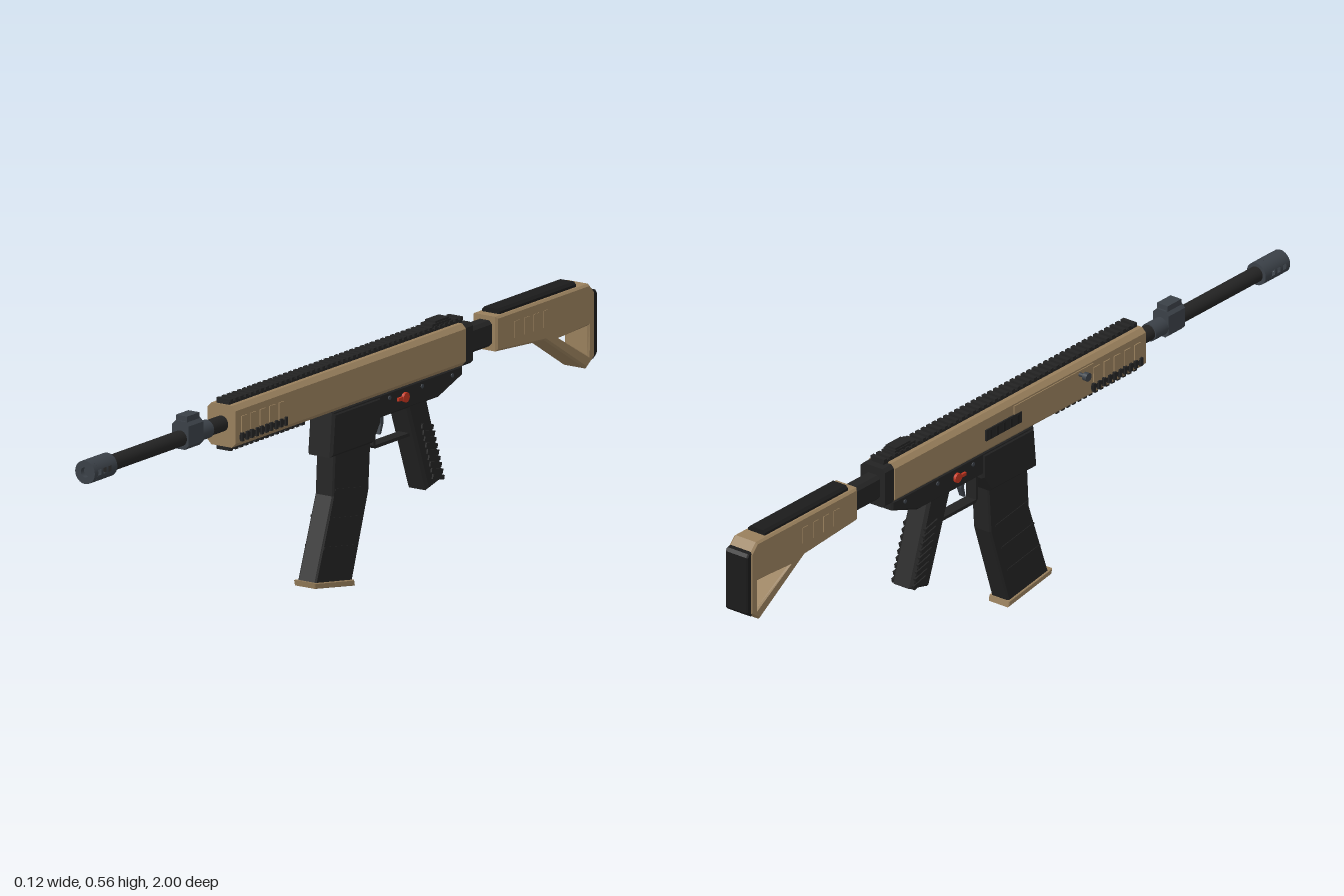
import * as THREE from 'three';

const mat = (name, color, side = THREE.FrontSide) => {
  const m = new THREE.MeshStandardMaterial({ color, side });
  m.name = name;
  return m;
};

export function createModel() {
  const tan = mat('tan', 0x987f5c);
  const black = mat('black', 0x232323);
  const rubber = mat('rubber black', 0x1b1b1b);
  const steel = mat('gunmetal', 0x3a4047, THREE.DoubleSide);
  const red = mat('red', 0xc0341f);

  const root = new THREE.Group();
  root.name = 'rifle';
  const body = new THREE.Group();
  body.name = 'body';
  body.position.x = 0.01;
  root.add(body);

  const add = (name, geo, m, x = 0, y = 0, z = 0) => {
    const mesh = new THREE.Mesh(geo, m);
    mesh.name = name;
    mesh.position.set(x, y, z);
    body.add(mesh);
    return mesh;
  };
  const box = (name, m, w, h, d, x, y, z) => add(name, new THREE.BoxGeometry(w, h, d), m, x, y, z);
  const toShape = pts => new THREE.Shape(pts.map(p => new THREE.Vector2(...p)));

  // Side profile given as [z, y] points, extruded across the width
  const side = (name, m, pts, width, bevel = 0.004, hole) => {
    const s = toShape(pts);
    if (hole) s.holes.push(new THREE.Path(hole.map(p => new THREE.Vector2(...p))));
    const g = new THREE.ExtrudeGeometry(s, {
      depth: width - 2 * bevel, bevelEnabled: bevel > 0, bevelSize: bevel,
      bevelThickness: bevel, bevelOffset: -bevel, bevelSegments: 1,
    });
    g.translate(0, 0, -(width - 2 * bevel) / 2).rotateY(-Math.PI / 2);
    return add(name, g, m);
  };
  // Chamfered rectangle extruded along z
  const bar = (name, m, w, y0, y1, z0, z1, c) => {
    const x = w / 2;
    const s = toShape([[-x + c, y0], [x - c, y0], [x, y0 + c], [x, y1 - c],
      [x - c, y1], [-x + c, y1], [-x, y1 - c], [-x, y0 + c]]);
    return add(name, new THREE.ExtrudeGeometry(s, { depth: z1 - z0, bevelEnabled: false }), m, 0, 0, z0);
  };
  const axisY = 0.489;
  const rod = (name, m, r, z0, z1, y = axisY) =>
    add(name, new THREE.CylinderGeometry(r, r, z1 - z0, 24).rotateX(Math.PI / 2), m, 0, y, (z0 + z1) / 2);

  // Upper receiver and rear block
  bar('receiver', tan, 0.08, 0.435, 0.535, -0.465, 0.455, 0.011);
  bar('rearBlock', black, 0.072, 0.433, 0.532, -0.498, -0.465, 0.008);
  bar('stockAdapter', black, 0.042, 0.45, 0.512, -0.605, -0.498, 0.008);

  // Top, bottom and side accessory rails
  box('topRailBase', black, 0.036, 0.008, 0.93, 0, 0.537, -0.015);
  for (let i = 0; i < 46; i++) box('topRailTooth', black, 0.04, 0.008, 0.011, 0, 0.543, 0.442 - i * 0.0204);
  box('bottomRailBase', black, 0.036, 0.008, 0.3, 0, 0.433, 0.3);
  for (let i = 0; i < 15; i++) box('bottomRailTooth', black, 0.04, 0.008, 0.011, 0, 0.428, 0.442 - i * 0.0204);
  for (const s of [-1, 1]) {
    box('sideRailBase', black, 0.005, 0.01, 0.185, s * 0.0405, 0.459, 0.347);
    for (let i = 0; i < 10; i++) box('sideRailTooth', black, 0.01, 0.02, 0.009, s * 0.042, 0.459, 0.433 - i * 0.0193);
    for (let i = 0; i < 5; i++) box('handguardVent', tan, 0.004, 0.052, 0.022, s * 0.0405, 0.482, 0.423 - i * 0.0375);
  }

  // Barrel, gas block and sight base
  rod('barrel', black, 0.019, 0.44, 0.915);
  rod('barrelCollar', steel, 0.022, 0.515, 0.565);
  bar('gasBlock', steel, 0.046, 0.463, 0.53, 0.56, 0.62, 0.01);
  box('frontSightBase', steel, 0.032, 0.014, 0.05, 0, 0.535, 0.59);

  // Muzzle brake: shell with open ports on both flanks
  const mr = 0.028;
  const arc = (name, z0, z1, start, len) => add(name,
    new THREE.CylinderGeometry(mr, mr, z1 - z0, 24, 1, true, start, len).rotateX(Math.PI / 2),
    steel, 0, axisY, (z0 + z1) / 2);
  arc('muzzleRear', 0.91, 0.933, 0, Math.PI * 2);
  arc('muzzleFront', 0.986, 1, 0, Math.PI * 2);
  for (const a of [0, Math.PI]) {
    arc('muzzleShell', 0.933, 0.986, a - Math.PI / 2 + 0.25, Math.PI - 0.5);
    for (const z of [0.945, 0.965]) arc('muzzleRib', z, z + 0.008, a + Math.PI / 2 - 0.25, 0.5);
  }
  add('muzzleFace', new THREE.RingGeometry(0.012, mr, 24), steel, 0, axisY, 1);
  add('muzzleBack', new THREE.RingGeometry(0.01, mr, 24), steel, 0, axisY, 0.91);
  add('bore', new THREE.CylinderGeometry(0.012, 0.012, 0.014, 24, 1, true).rotateX(Math.PI / 2), steel, 0, axisY, 0.993);
  add('boreEnd', new THREE.CircleGeometry(0.012, 24), steel, 0, axisY, 0.987);

  // Rear sight
  box('rearSightBase', black, 0.034, 0.008, 0.075, 0, 0.548, -0.4);
  box('rearSightLeaf', black, 0.03, 0.007, 0.055, 0, 0.5535, -0.405);

  // Charging handle, its track and the ejection port on the -x flank
  box('handleTrack', tan, 0.004, 0.026, 0.29, -0.0405, 0.507, 0.115);
  const cyl = (name, m, r, len, x, y, z) =>
    add(name, new THREE.CylinderGeometry(r, r, len, 16).rotateZ(Math.PI / 2), m, x, y, z);
  cyl('handleStem', steel, 0.005, 0.03, -0.049, 0.511, 0.21);
  cyl('handleKnob', steel, 0.0105, 0.012, -0.063, 0.511, 0.21);
  box('ejectionPort', black, 0.006, 0.028, 0.13, -0.041, 0.484, -0.07);
  for (let i = 0; i < 5; i++) box('portRib', rubber, 0.003, 0.022, 0.006, -0.0445, 0.484, -0.12 + i * 0.025);

  // Lower receiver and magazine well
  side('lowerReceiver', black, [[0.055, 0.436], [0.055, 0.38], [-0.35, 0.38], [-0.37, 0.38],
    [-0.465, 0.413], [-0.465, 0.436]], 0.064);
  side('magazineWell', black, [[0.055, 0.432], [0.065, 0.327], [-0.106, 0.327], [-0.135, 0.37], [-0.135, 0.432]], 0.07, 0.006);

  // Magazine with slanted ribs and base plate
  side('magazine', black, [[0.04, 0.335], [0.046, 0.23], [0.118, 0.03], [-0.03, 0.008],
    [-0.098, 0.215], [-0.106, 0.335]], 0.052, 0.004);
  for (const [z, y] of [[-0.02, 0.235], [0.002, 0.17], [0.024, 0.105]]) {
    box('magazineRib', black, 0.055, 0.005, 0.12, 0, y, z).rotation.x = -0.16;
  }
  side('magazineBase', tan, [[0.125, 0.04], [0.122, 0.026], [-0.037, 0], [-0.034, 0.015]], 0.06, 0.002);

  // Grip with ribs wrapped around the rear half
  side('grip', black, [[-0.245, 0.39], [-0.326, 0.165], [-0.394, 0.182], [-0.325, 0.39]], 0.06, 0.007);
  for (let i = 0; i < 9; i++) {
    const t = i / 8;
    box('gripRib', black, 0.068, 0.011, 0.046, 0, 0.32 - t * 0.13, -0.322 - t * 0.043).rotation.x = -0.24;
  }

  // Trigger guard and trigger
  side('triggerGuard', black, [[-0.13, 0.385], [-0.13, 0.312], [-0.138, 0.304], [-0.285, 0.304], [-0.285, 0.385]],
    0.03, 0, [[-0.138, 0.38], [-0.277, 0.38], [-0.277, 0.312], [-0.138, 0.312]]);
  side('trigger', steel, [[-0.165, 0.385], [-0.172, 0.355], [-0.166, 0.33], [-0.172, 0.33], [-0.182, 0.355], [-0.18, 0.385]], 0.014, 0);

  // Fire selector and pins, mirrored
  for (const s of [-1, 1]) {
    cyl('selectorHub', red, 0.012, 0.008, s * 0.035, 0.41, -0.23);
    box('selectorLever', red, 0.006, 0.008, 0.036, s * 0.035, 0.41, -0.218);
    for (const z of [-0.17, -0.3, -0.42]) cyl('pin', steel, 0.005, 0.004, s * 0.0325, 0.421, z);
  }

  // Stock with triangular opening, side grooves, cheek rest and butt pad
  side('stock', tan, [[-0.595, 0.523], [-0.595, 0.44], [-0.79, 0.425], [-0.955, 0.322], [-0.988, 0.345],
    [-0.988, 0.5], [-0.965, 0.523]], 0.07, 0.005,
  [[-0.845, 0.419], [-0.962, 0.423], [-0.962, 0.352]]);
  for (const s of [-1, 1]) {
    for (let i = 0; i < 4; i++) box('stockGroove', tan, 0.004, 0.04, 0.02, s * 0.0345, 0.478, -0.675 - i * 0.038);
  }
  bar('cheekRest', rubber, 0.05, 0.515, 0.535, -0.925, -0.62, 0.006);
  side('buttPad', rubber, [[-0.982, 0.505], [-0.982, 0.338], [-0.994, 0.345], [-1, 0.352], [-1, 0.495], [-0.994, 0.503]], 0.066, 0.003);

  return root;
}
